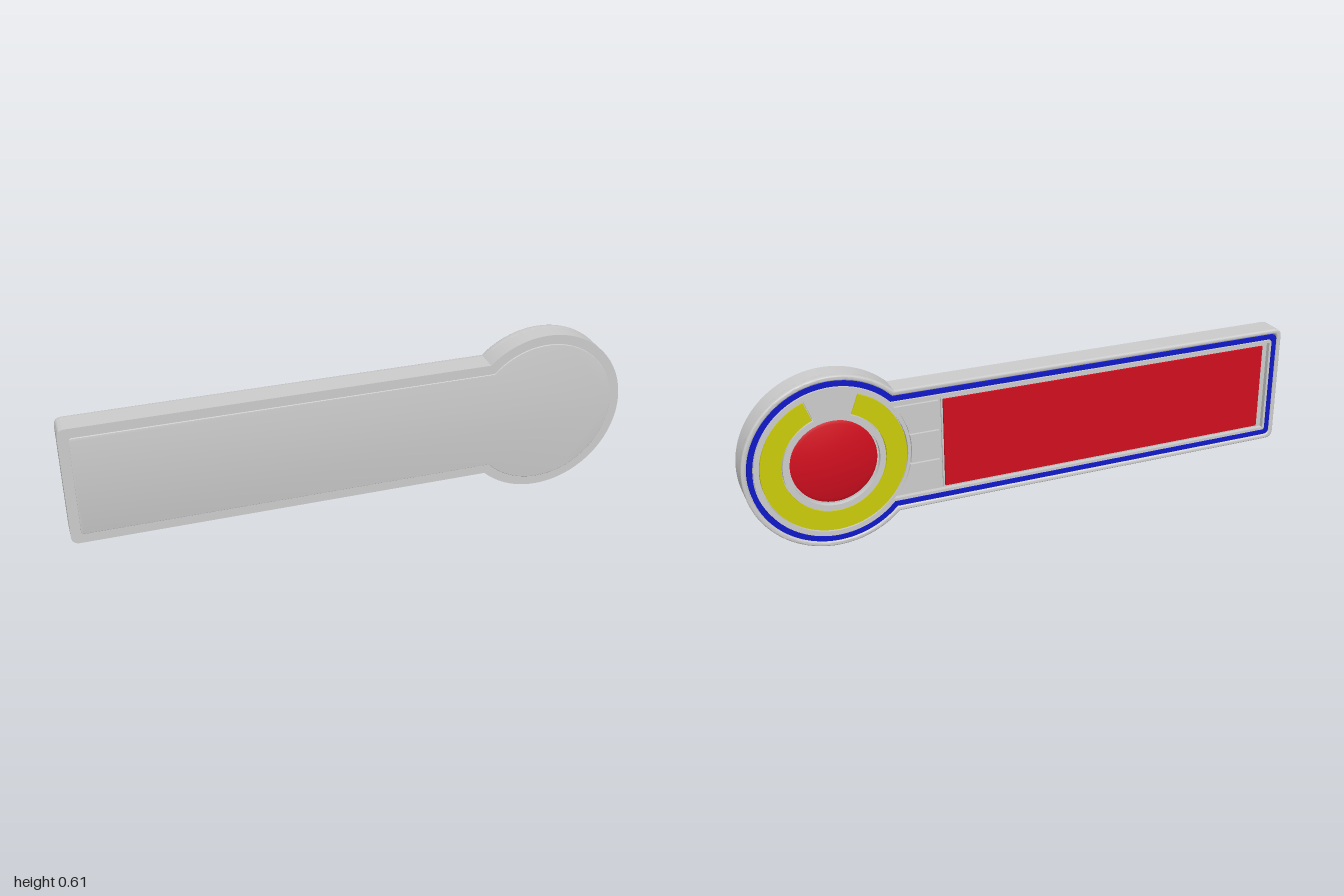
import * as THREE from 'three';
import { toCreasedNormals } from 'three/addons/utils/BufferGeometryUtils.js';

const GREY = 0xcccccc, RED = 0xd00e1e, YELLOW = 0xcccc0a, BLUE = 0x1018c8;
const CX = 0.695, CY = 0.3025; // centre of the round head; the handle shares its height

// Keyhole outline (bar plus round head), shrunk by an inset; y is relative to CY
function keyhole(inset) {
  const h = 0.22 - inset, r = 0.3045 - inset, left = -1 + inset;
  const c = Math.max(0.03 - inset * 0.5, 0.006);
  const d = Math.sqrt(r * r - h * h);
  const a = Math.atan2(h, -d);
  const s = new THREE.Shape();
  s.moveTo(left + c, -h);
  s.lineTo(CX - d, -h);
  s.absarc(CX, 0, r, -a, a, false);
  s.lineTo(left + c, h);
  s.quadraticCurveTo(left, h, left, h - c);
  s.lineTo(left, -h + c);
  s.quadraticCurveTo(left, -h, left + c, -h);
  return s;
}

// Rectangle-like cell from x0 to an end that follows a circle around the head
function arcCell(x0, y0, y1, r) {
  const s = new THREE.Shape();
  s.moveTo(x0, y0);
  for (let i = 0; i <= 24; i++) {
    const y = y0 + (y1 - y0) * i / 24;
    s.lineTo(CX - Math.sqrt(r * r - y * y), y);
  }
  s.lineTo(x0, y1);
  s.closePath();
  return s;
}

// Ring around the head, open at the top
function openRing(r0, r1, gap) {
  const a0 = Math.PI / 2 + gap, a1 = Math.PI * 2.5 - gap;
  const s = new THREE.Shape();
  s.absarc(CX, 0, r1, a0, a1, false);
  s.absarc(CX, 0, r0, a1, a0, true);
  s.closePath();
  return s;
}

function disc(r) {
  return new THREE.Shape().absarc(CX, 0, r, 0, Math.PI * 2, false);
}

function rect(x0, x1, h) {
  const s = new THREE.Shape();
  s.moveTo(x0, -h).lineTo(x1, -h).lineTo(x1, h).lineTo(x0, h).closePath();
  return s;
}

function mesh(name, geometry, color) {
  const m = new THREE.Mesh(geometry, new THREE.MeshStandardMaterial({ color }));
  m.name = name;
  return m;
}

// Extruded layer between two depths
function slab(name, shape, z0, z1, color = GREY, bevel = 0, holes = []) {
  shape.holes.push(...holes);
  const g = new THREE.ExtrudeGeometry(shape, {
    depth: z1 - z0 - 2 * bevel, curveSegments: 64, steps: 1,
    bevelEnabled: bevel > 0, bevelThickness: bevel, bevelSize: bevel,
    bevelOffset: -bevel, bevelSegments: 3,
  });
  g.translate(0, 0, z0 + bevel);
  return mesh(name, toCreasedNormals(g, 0.6), color);
}

export function createModel() {
  const model = new THREE.Group();
  model.name = 'keyholePanel';
  const body = new THREE.Group();
  body.name = 'body';
  body.position.y = CY;
  model.add(body);

  // Shell: base plate, raised front face, rounded rear rim
  body.add(
    slab('basePlate', keyhole(0), -0.028, 0.045),
    slab('frontFace', keyhole(0.035), 0.042, 0.048, GREY, 0.002),
    slab('rearRim', keyhole(0), -0.045, -0.015, GREY, 0.005, [keyhole(0.017)]),
  );

  // Seal running in the groove around the rear
  body.add(slab('seal', keyhole(0.019), -0.043, -0.028, BLUE, 0, [keyhole(0.036)]));

  // Inner land with the handle pocket, ring slot and button hole cut out
  body.add(slab('innerLand', keyhole(0.039), -0.044, -0.028, GREY, 0, [
    arcCell(-0.952, -0.171, 0.171, 0.257),
    openRing(0.172, 0.248, 0.36),
    disc(0.152),
  ]));

  // Long panel and its bed
  body.add(
    slab('panelBed', rect(-0.945, 0.324, 0.166), -0.034, -0.028),
    slab('longPanel', rect(-0.925, 0.318, 0.16), -0.041, -0.028, RED),
  );

  // Three pads between panel and head
  for (let i = -1; i <= 1; i++) {
    const y = i * 0.108;
    body.add(slab('pad', arcCell(0.334, y - 0.05, y + 0.05, 0.263), -0.038, -0.028));
  }

  // Open ring around the button
  body.add(slab('openRing', openRing(0.175, 0.245, 0.375), -0.042, -0.028, YELLOW));

  // Domed button
  const profile = [];
  for (let i = 0; i <= 12; i++) {
    const r = 0.146 * (1 - i / 12);
    profile.push(new THREE.Vector2(r, 0.048 - 0.9 * r * r));
  }
  profile.unshift(new THREE.Vector2(0.146, 0.026));
  const dome = new THREE.LatheGeometry(profile, 64);
  dome.rotateX(-Math.PI / 2);
  const button = mesh('domeButton', dome, RED);
  button.position.x = CX;
  body.add(button);

  return model;
}
